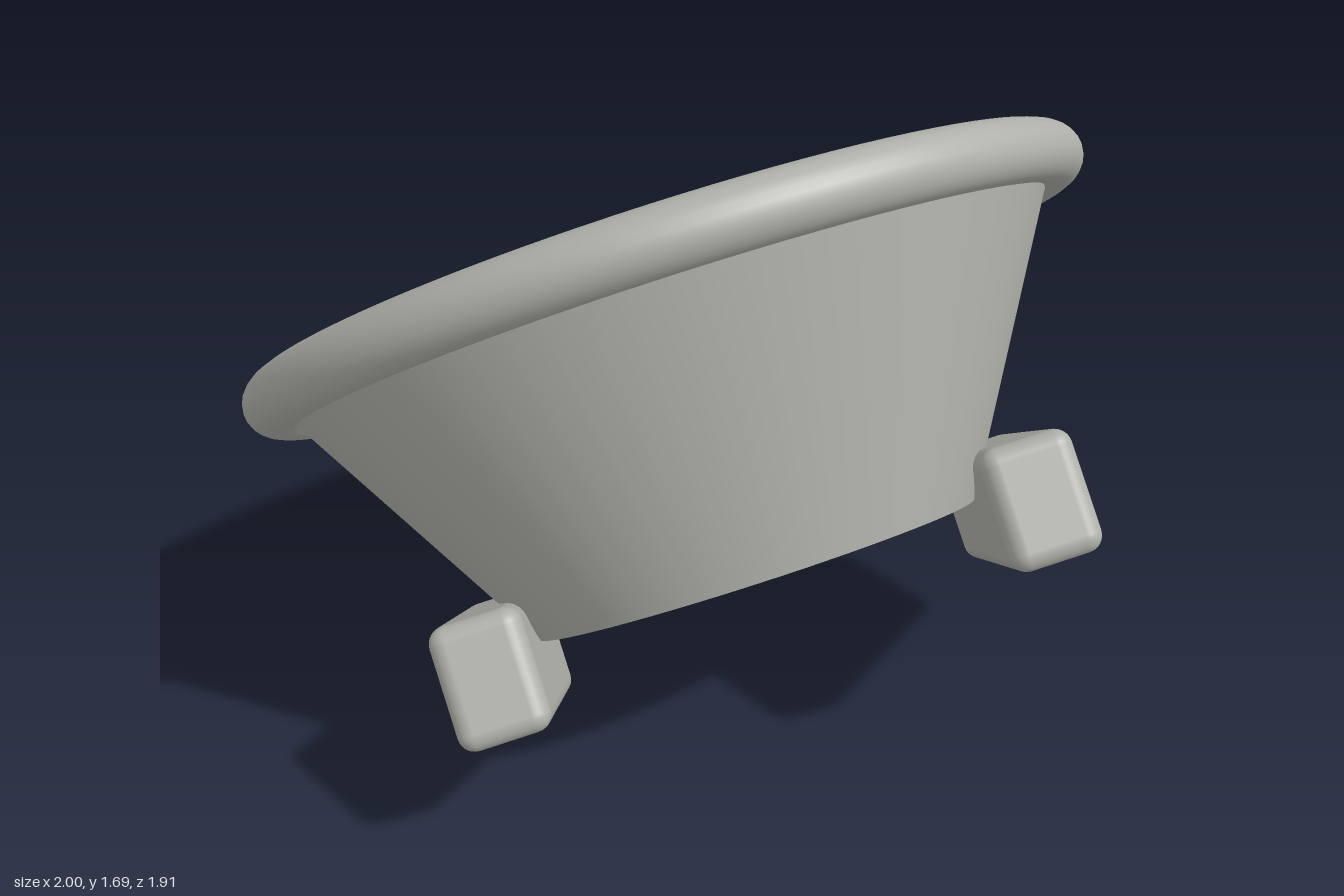
import * as THREE from 'three';
import { RoundedBoxGeometry } from 'three/addons/geometries/RoundedBoxGeometry.js';

export function createModel() {
  const grey = new THREE.MeshStandardMaterial({ color: 0xb0b0aa });
  grey.name = 'stoneGrey';
  const gold = new THREE.MeshStandardMaterial({ color: 0xb0955a });
  gold.name = 'dullGold';

  const model = new THREE.Group();
  model.name = 'tiltedBowl';
  const bowl = new THREE.Group();
  bowl.name = 'bowl';
  model.add(bowl);

  const add = (name, geometry, material, x = 0, y = 0, z = 0) => {
    const mesh = new THREE.Mesh(geometry, material);
    mesh.name = name;
    mesh.position.set(x, y, z);
    bowl.add(mesh);
    return mesh;
  };

  // Tapered body, its top edge buried in the rim
  const depth = 0.69;
  add('body', new THREE.CylinderGeometry(0.94, 0.53, depth, 64), grey, 0, -depth / 2, 0);

  // Round rim
  add('rim', new THREE.TorusGeometry(0.94, 0.07, 24, 96).rotateX(Math.PI / 2), grey);

  // Flat filling just below the top of the rim
  add('filling', new THREE.CylinderGeometry(0.93, 0.93, 0.06, 64), grey, 0, 0.028, 0);

  // Flattened pebbles in a sunflower spiral
  const pebble = new THREE.SphereGeometry(0.088, 24, 16).scale(1, 0.5, 1);
  const goldenAngle = Math.PI * (3 - Math.sqrt(5));
  for (let i = 0; i < 14; i++) {
    const r = 0.139 * Math.sqrt(i);
    add('pebble', pebble, gold, r * Math.cos(i * goldenAngle), 0.065, -r * Math.sin(i * goldenAngle));
  }

  // Two rounded block feet, one on each side of the base
  const foot = new RoundedBoxGeometry(0.21, 0.28, 0.75, 4, 0.04);
  for (const side of [-1, 1]) add('foot', foot, grey, side * 0.625, -0.72, 0);

  // Lean the whole bowl
  const up = new THREE.Vector3(-0.49, 0.791, -0.365).normalize();
  const across = new THREE.Vector3(0.803, 0.25, -0.537);
  across.addScaledVector(up, -across.dot(up)).normalize();
  const along = new THREE.Vector3().crossVectors(across, up);
  bowl.quaternion.setFromRotationMatrix(new THREE.Matrix4().makeBasis(across, up, along));
  bowl.position.set(-0.11, 1.05, -0.01);

  return model;
}
